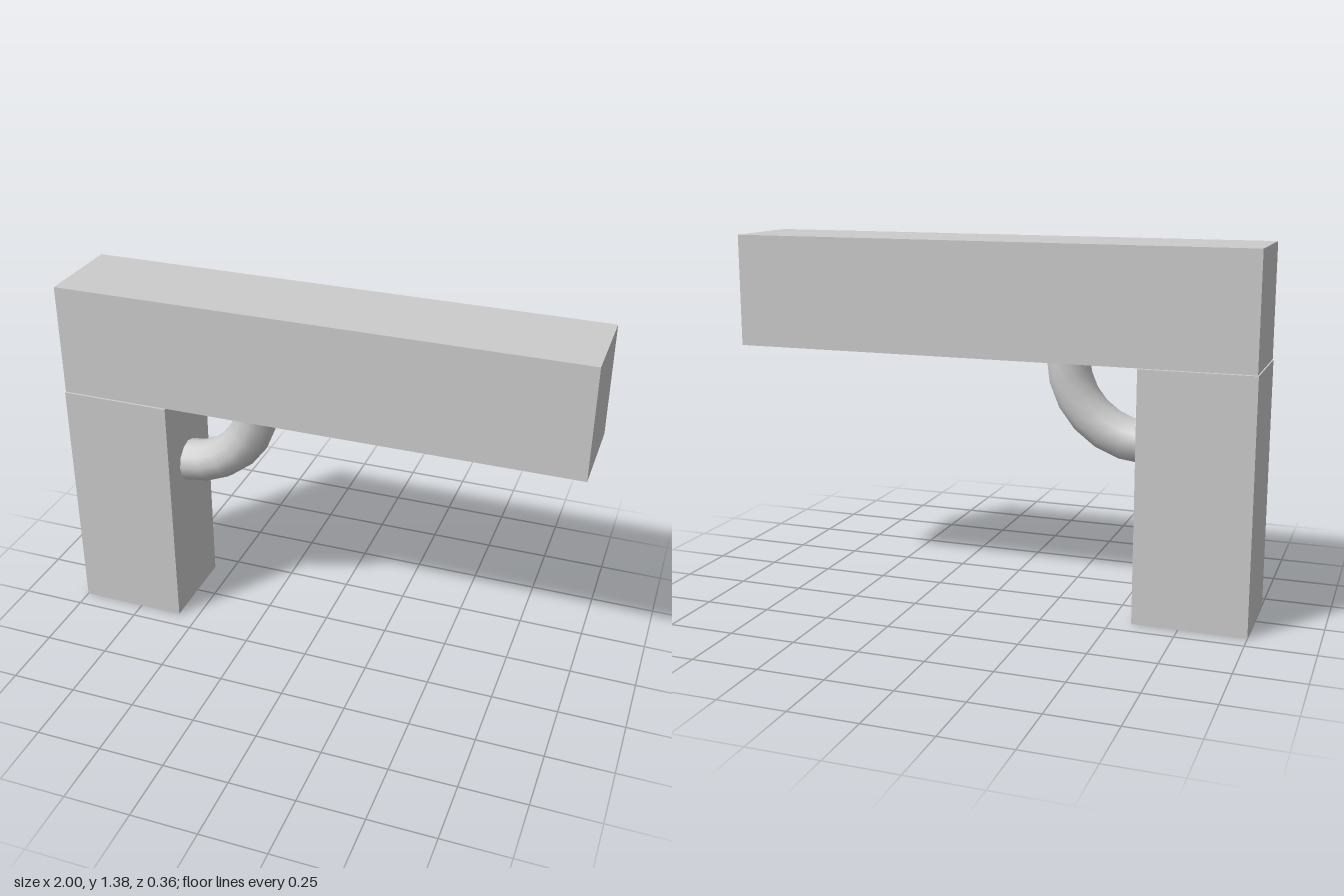
import * as THREE from 'three';

const material = new THREE.MeshStandardMaterial({ color: 0xcccccc });

function addPart(group, name, geometry, x, y, z) {
  const mesh = new THREE.Mesh(geometry, material);
  mesh.name = name;
  mesh.position.set(x, y, z);
  group.add(mesh);
  return mesh;
}

export function createModel() {
  const group = new THREE.Group();
  group.name = 'bracketedBeam';

  // Long horizontal beam resting just above the post
  addPart(group, 'beam', new THREE.BoxGeometry(1.995, 0.427, 0.36), 0, 1.162, -0.003);

  // Upright post under the left end
  addPart(group, 'post', new THREE.BoxGeometry(0.422, 0.945, 0.36), -0.789, 0.4725, 0);

  // Curved round brace in the corner, its ends sunk into the post and beam
  const step = Math.PI / 12;
  const brace = addPart(group, 'curvedBrace',
    new THREE.TorusGeometry(0.307, 0.083, 12, 8, 8 * step), -0.58, 0.948, 0.004);
  brace.rotation.z = -7 * step;

  return group;
}
